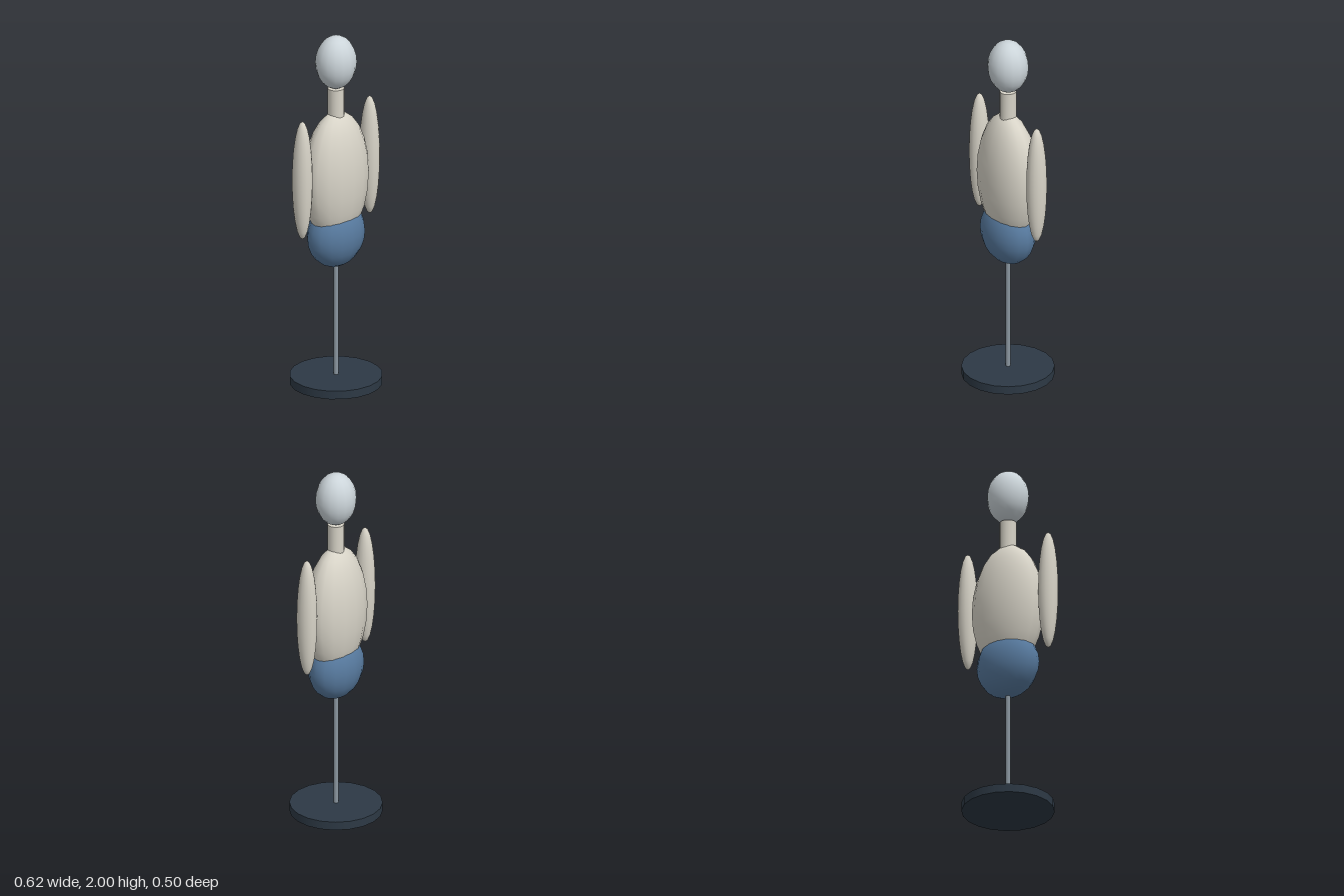
import * as THREE from 'three';

const material = (color) => new THREE.MeshStandardMaterial({ color });

export function createModel() {
  const model = new THREE.Group();
  const cloth = material(0xd8d4c8);
  const steel = material(0x8c98a2);

  function add(name, geometry, mat, x, y) {
    const mesh = new THREE.Mesh(geometry, mat);
    mesh.name = name;
    mesh.position.set(x, y, 0);
    model.add(mesh);
  }

  // Smooth ellipsoid given by its three half-sizes
  const ellipsoid = (rx, ry, rz) => new THREE.SphereGeometry(1, 16, 12).scale(rx, ry, rz);

  // Upright cylinder between two heights
  function post(name, radius, bottom, top, sides, mat) {
    const geometry = new THREE.CylinderGeometry(radius, radius, top - bottom, sides);
    add(name, geometry, mat, 0, (bottom + top) / 2);
  }

  // Stand
  post('base', 0.25, 0, 0.047, 20, material(0x2d3945));
  post('pole', 0.013, 0.04, 0.72, 12, steel);

  // Body
  add('pelvis', ellipsoid(0.182, 0.186, 0.13), material(0x587ba0), 0, 0.861);
  add('torso', ellipsoid(0.214, 0.372, 0.137), cloth, 0, 1.192);
  post('neck', 0.045, 1.48, 1.7, 16, cloth);
  add('head', ellipsoid(0.115, 0.15, 0.109), material(0xccd5da), 0, 1.85);

  // Arms, mirrored
  for (const side of [1, -1]) {
    add(side > 0 ? 'leftArm' : 'rightArm', ellipsoid(0.053, 0.34, 0.058), cloth, side * 0.258, 1.24);
  }
  return model;
}
